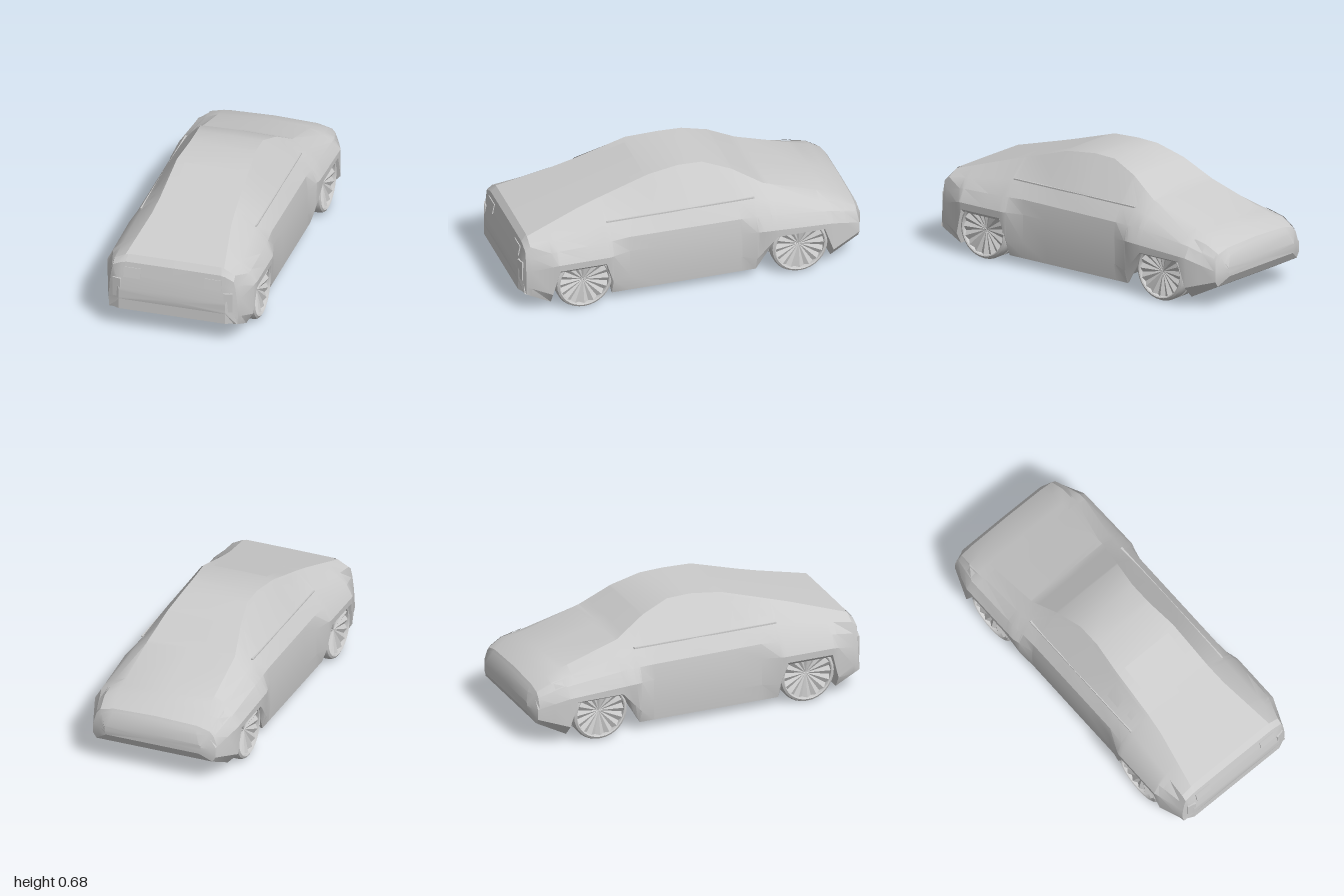
import * as THREE from 'three';
import { toCreasedNormals } from 'three/addons/utils/BufferGeometryUtils.js';

const grey = new THREE.MeshStandardMaterial({ color: 0xcccccc });
const thin = new THREE.MeshStandardMaterial({ color: 0xcccccc, side: THREE.DoubleSide });

// Lengthwise rails of the left side, each point [z, x, y]
const sill = [[1, .31, .19], [.98, .37, .125], [.83, .38, .054], [.79, .41, .25], [.52, .41, .25], [.477, .39, .054],
  [-.36, .39, .054], [-.48, .41, .248], [-.75, .41, .248], [-.8, .37, .054], [-.97, .35, .14], [-1, .28, .19]];
const lowerSide = [[1, .31, .2], [.97, .375, .17], [.83, .42, .12], [.79, .432, .27], [.52, .432, .27], [.477, .42, .14], [.375, .4, .15],
  [-.28, .4, .15], [-.36, .415, .13], [-.48, .432, .262], [-.75, .432, .262], [-.8, .432, .12], [-.97, .37, .17], [-1, .285, .2]];
const flare = [[1, .31, .22], [.97, .37, .26], [.8, .435, .31], [.5, .435, .31], [.375, .4, .31],
  [-.28, .4, .3], [-.4, .435, .31], [-.8, .432, .29], [-.97, .37, .23], [-1, .29, .215]];
const shoulder = [[1, .31, .24], [.97, .36, .34], [.8, .4, .38], [.5, .4, .39], [.375, .39, .395],
  [-.28, .39, .39], [-.45, .4, .39], [-.8, .395, .35], [-.96, .355, .29], [-1, .29, .23]];
const belt = [[1, .31, .25], [.97, .35, .385], [.94, .35, .41], [.5, .332, .475], [0, .335, .485],
  [-.37, .333, .47], [-.445, .34, .455], [-.88, .34, .365], [-.96, .33, .32], [-1, .29, .24]];
const roofEdge = [[1, .3, .255], [.97, .295, .409], [.94, .285, .444], [.62, .23, .542], [.5, .22, .578], [.21, .21, .668], [.03, .19, .684],
  [-.11, .19, .679], [-.27, .22, .622], [-.445, .26, .519], [-.88, .27, .383], [-.96, .25, .34], [-.985, .26, .3], [-1, .28, .245]];
const crown = [[1, 0, .26], [.97, 0, .41], [.94, 0, .445], [.5, 0, .58], [.21, 0, .67], [.03, 0, .685],
  [-.11, 0, .68], [-.27, 0, .627], [-.445, 0, .525], [-.88, 0, .39], [-.96, 0, .348], [-.985, 0, .305], [-1, 0, .25]];
// Skirt lip and the raised floor between the axles
const skirtLip = sill.map(([z, x, y]) => [z, x - .015, y]);
const floor = sill.map(([z, x, y]) => [z, x - .02, Math.abs(z) < .5 ? Math.max(y, .095) : y]);
const rails = [floor, skirtLip, sill, lowerSide, flare, shoulder, belt, roofEdge, crown];
const stations = [...new Set(rails.flat().map(p => p[0]))].sort((a, b) => b - a);

// Linear lookup of [x, y] on a rail
function at(rail, z) {
  const i = Math.max(1, rail.findIndex(p => p[0] <= z));
  const [a, b] = [rail[i - 1], rail[i]];
  const t = (a[0] - z) / (a[0] - b[0]);
  return [a[1] + (b[1] - a[1]) * t, a[2] + (b[2] - a[2]) * t];
}

function surface(positions, index) {
  const g = new THREE.BufferGeometry();
  g.setAttribute('position', new THREE.Float32BufferAttribute(positions, 3));
  g.setIndex(index);
  return toCreasedNormals(g, 0.38);
}

function mesh(parent, name, geometry, material = grey) {
  const m = new THREE.Mesh(geometry, material);
  m.name = name;
  parent.add(m);
  return m;
}

// Body shell: a mirrored ring at every station, closed at both ends
function bodyGeometry() {
  const pos = [], idx = [], n = rails.length * 2 - 1, last = stations.length - 1;
  for (const z of stations) {
    const half = rails.map(r => at(r, z));
    const other = half.slice(0, -1).reverse().map(([x, y]) => [-x, y]);
    for (const [x, y] of [...half, ...other]) pos.push(x, y, z);
  }
  for (let i = 0; i < last; i++) for (let j = 0; j < n; j++) {
    const k = (j + 1) % n, a = i * n + j, b = a + n, c = i * n + k, d = c + n;
    idx.push(a, b, c, b, d, c);
  }
  const centre = pos.length / 3;
  pos.push(0, .22, 1, 0, .22, -1);
  for (let j = 0; j < n; j++) {
    const k = (j + 1) % n;
    idx.push(centre, j, k, centre + 1, last * n + k, last * n + j);
  }
  return surface(pos, idx);
}

// Panel laid just outside the shell between two rails
function panelGeometry(lower, upper, z0, z1, side, bottomAt, topAt, lift) {
  const zs = [z0, ...stations.filter(z => z < z0 && z > z1), z1], pos = [], idx = [];
  zs.forEach((z, i) => {
    const a = at(lower, z), b = at(upper, z);
    const dx = b[0] - a[0], dy = b[1] - a[1], len = Math.hypot(dx, dy);
    for (const t of [bottomAt(z), topAt(z)])
      pos.push(side * (a[0] + dx * t + dy / len * lift), a[1] + dy * t - dx / len * lift, z);
    if (i) {
      const k = i * 2;
      idx.push(k - 2, k, k - 1, k, k + 1, k - 1);
    }
  });
  if (side < 0) idx.reverse();
  return surface(pos, idx);
}

// Wheel pointing along +x: twin treads, flat inner cap, pleated dish
function makeWheel() {
  const wheel = new THREE.Group();
  const profile = [[0, -.07], [.162, -.07], [.166, -.066], [.166, -.015], [.115, -.015], [.115, .005], [.166, .005],
    [.166, .048], [.159, .063], [.147, .07], [.141, .066], [.138, .04]];
  const tyre = new THREE.LatheGeometry(profile.map(p => new THREE.Vector2(...p)), 32);
  mesh(wheel, 'tyre', toCreasedNormals(tyre.rotateZ(-Math.PI / 2), 0.5));
  const dish = new THREE.CircleGeometry(.14, 32);
  const p = dish.attributes.position;
  for (let i = 0; i < p.count; i++) p.setZ(i, i === 0 ? .035 : i % 2 ? .062 : .046);
  mesh(wheel, 'spokedDish', toCreasedNormals(dish.rotateY(Math.PI / 2), 0.1));
  return wheel;
}

export function createModel() {
  const car = new THREE.Group();
  car.name = 'car';
  mesh(car, 'bodyShell', bodyGeometry());

  // Panel limits: window top slopes down at its end, deck panel widens below the glass
  const windowTop = z => .92 - Math.max(0, -.27 - z) * 6.5;
  const deckEdge = z => 1 - (.16 + Math.max(0, z - .62) * .34) / at(roofEdge, z)[0];

  for (const s of [1, -1]) {
    // Glass and lamps that follow the shell
    mesh(car, 'sideWindow', panelGeometry(belt, roofEdge, .5, -.37, s, () => .04, windowTop, .005), thin);
    mesh(car, 'noseLamp', panelGeometry(shoulder, belt, -.75, -.95, s, () => .1, () => .9, .004), thin);
    mesh(car, 'deckPanel', panelGeometry(roofEdge, crown, .985, .23, s, deckEdge, () => 1, .004), thin);

    // Window ledge
    const ledge = mesh(car, 'windowLedge', new THREE.BoxGeometry(.014, .008, .86));
    ledge.position.set(s * .331, .481, .06);

    // Lamps on the flat end
    const lamp = mesh(car, 'endLamp', new THREE.BoxGeometry(.1, .06, .012));
    lamp.position.set(s * .234, .355, .981);
    lamp.rotation.x = -.2;
    const corner = mesh(car, 'cornerLamp', new THREE.BoxGeometry(.05, .115, .03));
    corner.position.set(s * .32, .258, .979);
    corner.rotation.y = s * .25;

    // Wheels
    for (const z of [.645, -.61]) {
      const wheel = makeWheel();
      wheel.name = z > 0 ? 'frontWheel' : 'backWheel';
      wheel.position.set(s * .35, .17, z);
      if (s < 0) wheel.rotation.y = Math.PI;
      car.add(wheel);
    }
  }

  // Bumper strip wrapping the flat end
  const outline = [[-.375, -.93], [-.37, -.972], [-.31, -1], [.31, -1], [.37, -.972], [.375, -.93]];
  const bumper = new THREE.ExtrudeGeometry(new THREE.Shape(outline.map(p => new THREE.Vector2(...p))),
    { depth: .062, bevelEnabled: false });
  mesh(car, 'bumperStrip', bumper.rotateX(-Math.PI / 2).translate(0, .128, 0));
  return car;
}
